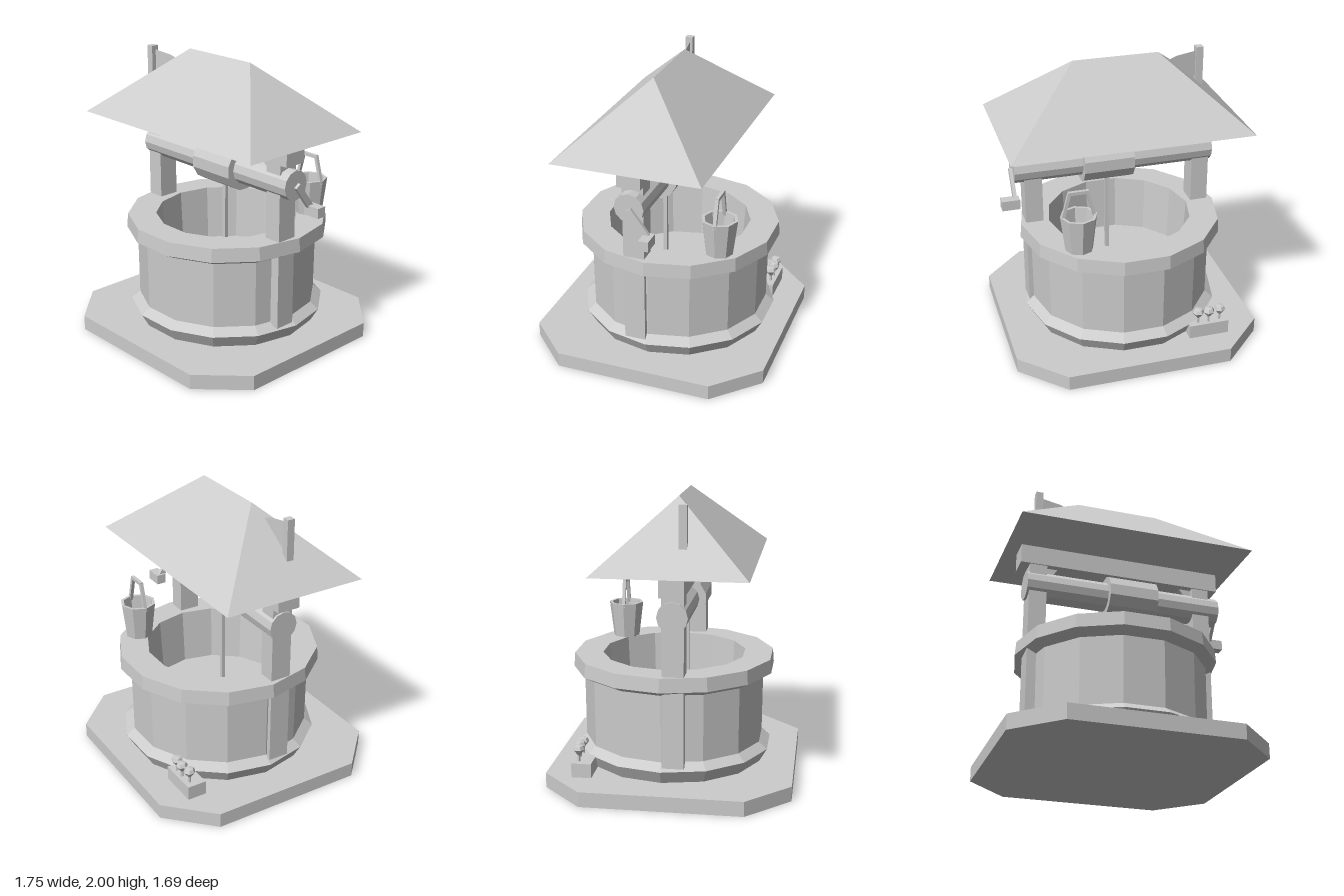
import * as THREE from 'three';

export function createModel() {
  const model = new THREE.Group();
  model.name = 'wishingWell';
  const grey = new THREE.MeshStandardMaterial({ color: 0xcccccc });
  grey.name = 'plain grey';

  // Adds a faceted part
  const add = (name, geometry, x = 0, y = 0, z = 0) => {
    const g = geometry.index ? geometry.toNonIndexed() : geometry;
    g.computeVertexNormals();
    const mesh = new THREE.Mesh(g, grey);
    mesh.name = name;
    mesh.position.set(x, y, z);
    model.add(mesh);
    return mesh;
  };
  // Box given by its limits on each axis
  const block = (name, x0, x1, y0, y1, z0, z1) =>
    add(name, new THREE.BoxGeometry(x1 - x0, y1 - y0, z1 - z0),
      (x0 + x1) / 2, (y0 + y1) / 2, (z0 + z1) / 2);
  // Straight bar between two points
  const bar = (name, from, to, width, depth) => {
    const a = new THREE.Vector3(...from), b = new THREE.Vector3(...to);
    const dir = b.clone().sub(a);
    const mesh = add(name, new THREE.BoxGeometry(width, dir.length(), depth));
    mesh.position.copy(a).add(b).multiplyScalar(0.5);
    mesh.quaternion.setFromUnitVectors(new THREE.Vector3(0, 1, 0), dir.normalize());
    return mesh;
  };
  const shapeOf = (pts) => new THREE.Shape(pts.map(([x, y]) => new THREE.Vector2(x, y)));
  const lathe = (pts, sides, start = 0) =>
    new THREE.LatheGeometry(pts.map(([r, y]) => new THREE.Vector2(r, y)), sides, start);

  // Eight-cornered base slab
  const slab = new THREE.ExtrudeGeometry(shapeOf([
    [-0.58, -0.845], [0.577, -0.845], [0.875, -0.55], [0.875, 0.55],
    [0.577, 0.845], [-0.58, 0.845], [-0.877, 0.55], [-0.877, -0.55],
  ]), { depth: 0.105, bevelEnabled: false });
  slab.rotateX(-Math.PI / 2);
  add('baseSlab', slab);

  // Well wall with foot, rim, inside and floor
  add('wellWall', lathe([
    [0.64, 0.1], [0.697, 0.2], [0.637, 0.25], [0.641, 0.72], [0.716, 0.76],
    [0.708, 0.858], [0.508, 0.858], [0.485, 0.465], [0, 0.465],
  ], 14, Math.PI / 2), 0, 0, -0.031);

  // Posts, braces and top beam
  for (const s of [-1, 1]) {
    const x = s * 0.607;
    block('post', x - 0.062, x + 0.062, 0.22, 1.42, -0.021, 0.127);
    bar('brace', [s * 0.58, 1.28, 0.053], [s * 0.47, 1.44, 0.053], 0.06, 0.07);
  }
  block('topBeam', -0.735, 0.733, 1.4, 1.545, -0.028, 0.136);

  // Hipped roof, closed underneath
  const e = [[-0.835, 1.537, 0.56], [0.835, 1.537, 0.56], [0.835, 1.537, -0.473], [-0.835, 1.537, -0.473]];
  const l = [-0.298, 2, 0.043], r = [0.297, 2, 0.043];
  const roof = new THREE.BufferGeometry();
  roof.setAttribute('position', new THREE.Float32BufferAttribute([
    e[0], e[1], r, e[0], r, l,
    e[2], e[3], l, e[2], l, r,
    e[1], e[2], r, e[3], e[0], l,
    e[0], e[3], e[2], e[0], e[2], e[1],
  ].flat(), 3));
  add('roof', roof);

  // Windlass: axle, drum and rope
  const roller = (name, radius, sides, x0, x1, turn) => {
    const g = new THREE.CylinderGeometry(radius, radius, x1 - x0, sides);
    g.rotateY(turn);
    g.rotateZ(Math.PI / 2);
    return add(name, g, (x0 + x1) / 2, 1.26, 0.052);
  };
  roller('axle', 0.104, 12, -0.685, 0.74, 0);
  roller('drum', 0.154, 12, -0.1, 0.257, Math.PI / 12);
  block('rope', 0.054, 0.081, 0.46, 1.16, 0.037, 0.064);

  // Crank
  bar('crankArm', [0.75, 1.26, 0.05], [0.75, 1.07, -0.09], 0.025, 0.045);
  block('crankHandle', 0.722, 0.847, 1.03, 1.1, -0.122, -0.052);

  // Bucket standing on the rim, with its bail
  const bx = 0.397, bz = -0.456;
  add('bucket', lathe([
    [0, 0], [0.096, 0], [0.127, 0.255], [0.106, 0.255], [0.088, 0.04], [0, 0.04],
  ], 8), bx, 0.857, bz);
  for (const s of [-1, 1])
    bar('bucketHandleSide', [bx + s * 0.112, 1.085, bz], [bx + s * 0.06, 1.28, bz], 0.022, 0.024);
  block('bucketHandleTop', bx - 0.07, bx + 0.07, 1.267, 1.29, bz - 0.012, bz + 0.012);

  // Pole and flag on the roof
  block('flagPole', -0.645, -0.593, 1.58, 1.985, 0.09, 0.143);
  const flag = add('flag', new THREE.ExtrudeGeometry(shapeOf([
    [0, 1.77], [0.06, 1.77], [0.205, 1.88], [0.205, 1.92], [0.15, 1.938], [0, 1.955],
  ]), { depth: 0.004, bevelEnabled: false }), -0.6, 0, 0.108);
  flag.rotation.y = 0.12;

  // Planter with three flowers
  block('planter', -0.63, -0.345, 0.1, 0.205, -0.652, -0.515);
  [[-0.575, -0.61], [-0.49, -0.62], [-0.415, -0.615]].forEach(([x, z], i) => {
    add('flowerStem', new THREE.CylinderGeometry(0.01, 0.01, 0.07, 5), x, 0.225, z);
    const head = add('flowerHead', lathe([[0, 0], [0.042, 0.055], [0.03, 0.08], [0, 0.085]], 6), x, 0.235, z);
    head.rotation.y = i * 0.7;
  });

  return model;
}
